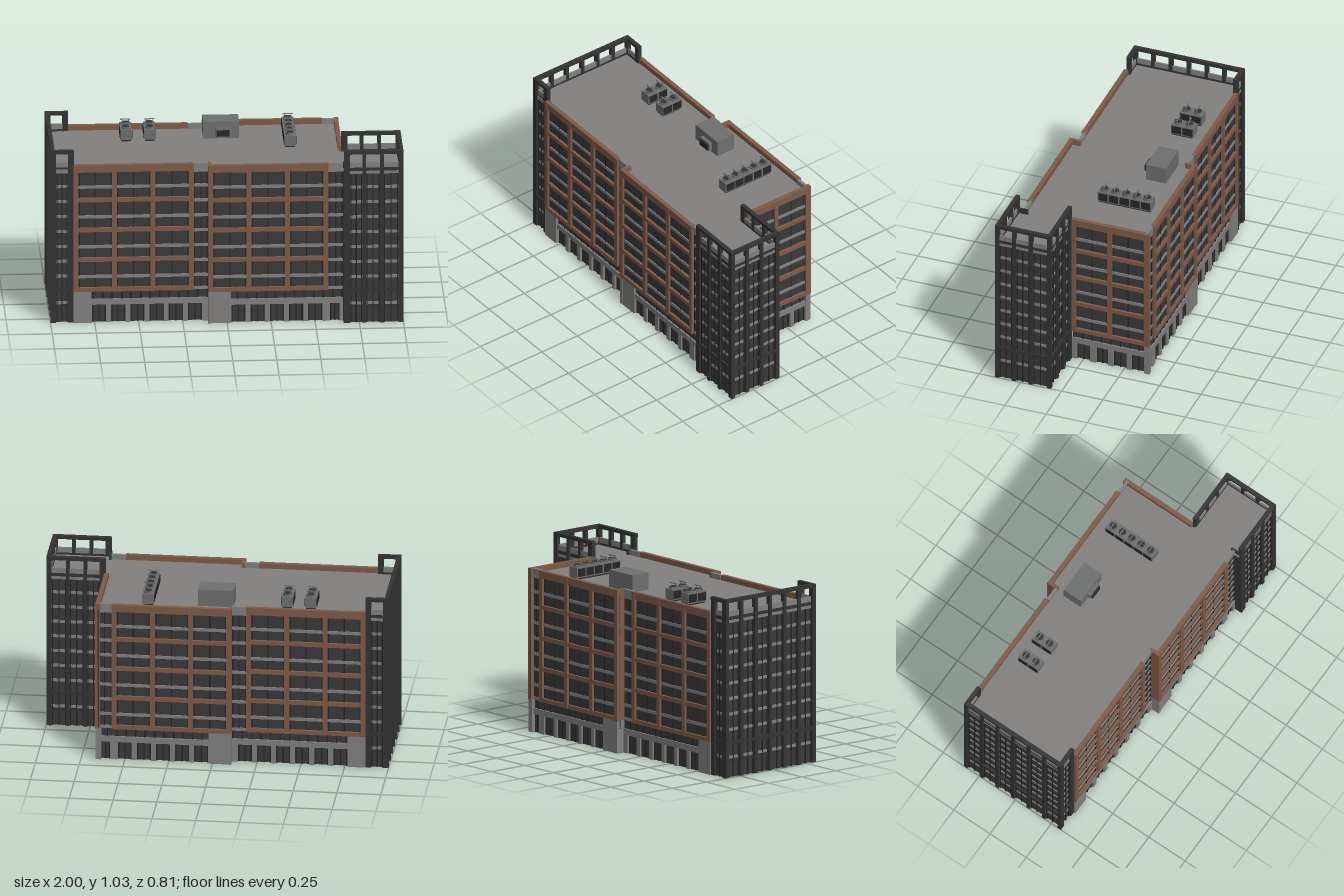
import * as THREE from 'three';

const mat = (name, color) => {
  const m = new THREE.MeshStandardMaterial({ color });
  m.name = name;
  return m;
};

export function createModel() {
  const model = new THREE.Group();
  model.name = 'officeBuilding';
  const concrete = mat('concrete', 0x828180);
  const glass = mat('darkGlass', 0x3a3a3a);
  const mullion = mat('mullionBlack', 0x262626);
  const frame = mat('charcoalFrame', 0x343434);
  const brick = mat('brownCladding', 0x7f5b48);
  const metal = mat('plantMetal', 0x6e6f6f);

  function box(parent, name, m, x0, x1, y0, y1, z0, z1) {
    const mesh = new THREE.Mesh(new THREE.BoxGeometry(Math.abs(x1 - x0), y1 - y0, Math.abs(z1 - z0)), m);
    mesh.position.set((x0 + x1) / 2, (y0 + y1) / 2, (z0 + z1) / 2);
    mesh.name = name;
    parent.add(mesh);
    return mesh;
  }

  // A facade lies in a vertical plane; u runs along it, d is depth (0 outer face, negative inward)
  function facade(name, axis, sign, plane) {
    const g = new THREE.Group();
    g.name = name;
    model.add(g);
    return (part, m, u0, u1, y0, y1, d0, d1) => {
      const a = plane + sign * d0, b = plane + sign * d1;
      return axis === 'z' ? box(g, part, m, u0, u1, y0, y1, a, b) : box(g, part, m, a, b, y0, y1, u0, u1);
    };
  }

  const spandrels = [0.267, 0.357, 0.447, 0.537, 0.627, 0.717, 0.807];
  const beams = [[0.188, 0.212], [0.368, 0.392], [0.547, 0.571], [0.727, 0.751], [0.907, 0.95]];

  // Thin upright bars dividing a glazed bay
  function mullions(f, u0, u1, n, y0, y1, d) {
    for (let i = 0; i <= n; i++) {
      const u = u0 + 0.005 + (u1 - u0 - 0.01) * i / n;
      f('mullion', mullion, u - 0.003, u + 0.003, y0, y1, d - 0.006, d);
    }
  }

  // Brown grid over glass with a concrete band halfway up each double storey
  function brownGrid(f, posts) {
    const a = posts[0][0], b = posts[posts.length - 1][1];
    f('windows', glass, a, b, 0.2, 0.92, -0.024, -0.016);
    for (const [y0, y1] of beams) f('brownBeam', brick, a, b, y0, y1, -0.026, -0.001);
    posts.forEach(([p, q], i) => {
      f('brownPost', brick, p, q, 0.188, 0.95, -0.027, 0);
      if (!i) return;
      const u0 = posts[i - 1][1];
      for (const y of spandrels.filter((_, k) => k % 2 === 0)) f('spandrel', concrete, u0, p, y, y + 0.018, -0.025, -0.01);
      mullions(f, u0, p, 2, 0.212, 0.907, -0.012);
    });
  }

  // Plain strip between the brown grids
  function plainStrip(f, u0, u1) {
    f('windows', glass, u0, u1, 0.19, 0.91, -0.028, -0.02);
    for (const y of [0.188, ...spandrels]) f('spandrel', concrete, u0, u1, y, y + 0.018, -0.03, -0.015);
    f('parapet', concrete, u0, u1, 0.897, 0.95, -0.03, -0.012);
    mullions(f, u0, u1, 2, 0.2, 0.9, -0.016);
  }

  // Shop fronts: piers between openings, lintel, strip of windows above
  function groundFloor(f, u0, u1, openings, solid) {
    let u = u0;
    for (const [a, b] of openings) {
      f('pier', concrete, u, a, 0, 0.108, -0.035, -0.01);
      f('shopGlass', glass, a, b, 0, 0.108, -0.033, -0.025);
      mullions(f, a, b, 2, 0, 0.108, -0.02);
      u = b;
    }
    if (u1 - u > 0.001) f('pier', concrete, u, u1, 0, 0.108, -0.035, -0.01);
    f('lintel', concrete, u0, u1, 0.106, 0.14, -0.035, -0.01);
    f('upperWindows', glass, u0, u1, 0.14, 0.19, -0.03, -0.02);
    mullions(f, u0, u1, Math.max(2, Math.round((u1 - u0) / 0.055)), 0.14, 0.19, -0.015);
    if (solid) f('solidPier', concrete, solid[0], solid[1], 0, 0.19, -0.035, -0.004);
  }

  // Charcoal tower grid whose frame rises above the roof
  function towerGrid(f, cols) {
    const a = cols[0][0], b = cols[cols.length - 1][1];
    f('windows', glass, a + 0.01, b - 0.01, 0, 0.92, -0.024, -0.016);
    f('roofRail', frame, a, b, 1.015, 1.035, -0.024, 0);
    f('frameBeam', frame, a, b, 0.19, 0.21, -0.02, -0.004);
    cols.forEach(([p, q], i) => {
      f('column', frame, p, q, 0, 1.03, -0.024, -0.0005);
      if (!i) return;
      const u0 = cols[i - 1][1];
      for (const y of [0.107, ...spandrels, 0.895]) f('spandrel', concrete, u0, p, y, y + 0.017, -0.022, -0.012);
      f('parapet', concrete, u0, p, 0.932, 0.963, -0.022, -0.012);
      f('parapetBase', frame, u0, p, 0.912, 0.932, -0.022, -0.013);
      f('groundBeam', frame, u0, p, 0.09, 0.107, -0.022, -0.013);
      mullions(f, u0, p, 2, 0, 0.895, -0.01);
    });
  }

  const gridPosts = s => [0, 0.218, 0.436, 0.655].map(o => [s + o, s + o + 0.028]);
  const openings = (s, n) => Array.from({ length: n }, (_, i) => [s + i * 0.109, s + i * 0.109 + 0.081]);

  // Long front and back walls, each with a step at x = -0.1
  for (const [side, sign, zWest, zEast] of [['front', 1, 0.33, 0.37], ['back', -1, -0.365, -0.405]]) {
    const west = facade(side + 'WestWall', 'z', sign, zWest);
    brownGrid(west, gridPosts(-0.87));
    plainStrip(west, -0.187, -0.105);
    groundFloor(west, -0.87, -0.105, openings(-0.765, 6), [-0.87, -0.768]);

    const east = facade(side + 'EastWall', 'z', sign, zEast);
    brownGrid(east, gridPosts(-0.107));
    plainStrip(east, 0.576, 0.66);
    groundFloor(east, -0.107, 0.66, [...openings(0.025, 5), [0.585, 0.64]], [-0.107, 0.022]);

    const step = facade(side + 'Step', 'x', -1, -0.107);
    const z0 = Math.min(zWest, zEast - sign * 0.001) - (sign > 0 ? 0.03 : 0);
    const z1 = Math.max(zWest, zEast - sign * 0.001) + (sign > 0 ? 0 : 0.03);
    step('brownReturn', brick, z0, z1, 0.19, 0.95, -0.02, 0);
    step('concreteReturn', concrete, z0, z1, 0, 0.19, -0.02, 0);
  }

  // Right-hand end wall of the main block
  const end = facade('eastEndWall', 'x', 1, 0.67);
  brownGrid(end, [[-0.405, -0.37], [-0.176, -0.15], [0.042, 0.065]]);
  groundFloor(end, -0.402, 0.065, [[-0.375, -0.293], [-0.266, -0.184], [-0.153, -0.08], [-0.044, 0.038]], [-0.405, -0.372]);

  // Right tower
  const towerX = [[0.662, 0.697], [0.768, 0.788], [0.868, 0.888], [0.972, 1]];
  const towerZ = [[0.066, 0.088], [0.178, 0.2], [0.28, 0.302], [0.382, 0.404]];
  towerGrid(facade('towerFront', 'z', 1, 0.405), towerX);
  towerGrid(facade('towerBack', 'z', -1, 0.065), towerX);
  towerGrid(facade('towerSide', 'x', 1, 1), towerZ);
  box(model, 'towerReturn', frame, 0.66, 0.672, 0, 0.95, 0.33, 0.403);

  // Left wing: full end wall with short returns at front and back
  const wingX = [[-1, -0.968], [-0.9, -0.868]];
  const wingZ = Array.from({ length: 7 }, (_, i) => [-0.354 + i * 0.1078, -0.332 + i * 0.1078]);
  towerGrid(facade('wingFront', 'z', 1, 0.316), wingX);
  towerGrid(facade('wingBack', 'z', -1, -0.355), wingX);
  towerGrid(facade('wingSide', 'x', -1, -1), wingZ);

  // Flat roofs
  box(model, 'westRoof', concrete, -0.985, -0.1, 0.908, 0.92, -0.342, 0.308);
  box(model, 'mainRoof', concrete, -0.1, 0.652, 0.908, 0.92, -0.385, 0.35);
  box(model, 'towerRoof', concrete, 0.652, 0.985, 0.908, 0.92, 0.08, 0.39);

  // Rooftop plant: cased units with fans on top and slim pipes
  function fanUnit(name, x, z0, z1, cols, rows) {
    const g = new THREE.Group();
    g.name = name;
    model.add(g);
    const w = 0.066, r = Math.min(w / cols, (z1 - z0) / rows) * 0.4;
    box(g, 'casing', metal, x - w / 2, x + w / 2, 0.93, 0.99, z0, z1);
    box(g, 'plinth', frame, x - w / 2 + 0.006, x + w / 2 - 0.006, 0.918, 0.93, z0 + 0.006, z1 - 0.006);
    for (let i = 0; i < rows; i++) {
      const za = z0 + (z1 - z0) * i / rows, zb = z0 + (z1 - z0) * (i + 1) / rows, z = (za + zb) / 2;
      for (const s of [-1, 1]) {
        box(g, 'sideLouvre', mullion, x + s * w / 2, x + s * (w / 2 + 0.002), 0.937, 0.983, za + 0.005, zb - 0.005);
      }
      for (let j = 0; j < cols; j++) {
        const fx = x + w * ((j + 0.5) / cols - 0.5);
        const collar = new THREE.Mesh(new THREE.CylinderGeometry(r, r, 0.012, 16), metal);
        collar.position.set(fx, 0.996, z);
        collar.name = 'fanCollar';
        const blades = new THREE.Mesh(new THREE.CylinderGeometry(r * 0.8, r * 0.8, 0.002, 16), frame);
        blades.position.set(fx, 1.003, z);
        blades.name = 'fanBlades';
        g.add(collar, blades);
      }
      for (const s of [-1, 1]) box(g, 'guardPost', metal, x + s * 0.018 - 0.002, x + s * 0.018 + 0.002, 0.99, 1.02, z - 0.002, z + 0.002);
      box(g, 'guardBar', metal, x - 0.03, x + 0.03, 1.017, 1.021, z - 0.003, z + 0.003);
    }
  }
  fanUnit('fanUnitA', -0.547, -0.275, -0.14, 1, 2);
  fanUnit('fanUnitB', -0.412, -0.275, -0.14, 1, 2);
  fanUnit('longFanUnit', 0.377, -0.318, 0.005, 1, 5);

  // Stair and plant housing
  box(model, 'roofHousing', metal, -0.108, 0.096, 0.918, 1.02, -0.29, -0.17);
  box(model, 'housingDuct', metal, -0.04, 0.046, 0.935, 0.985, -0.17, -0.15);
  box(model, 'ductGrille', mullion, -0.034, 0.04, 0.94, 0.975, -0.15, -0.14);
  return model;
}
